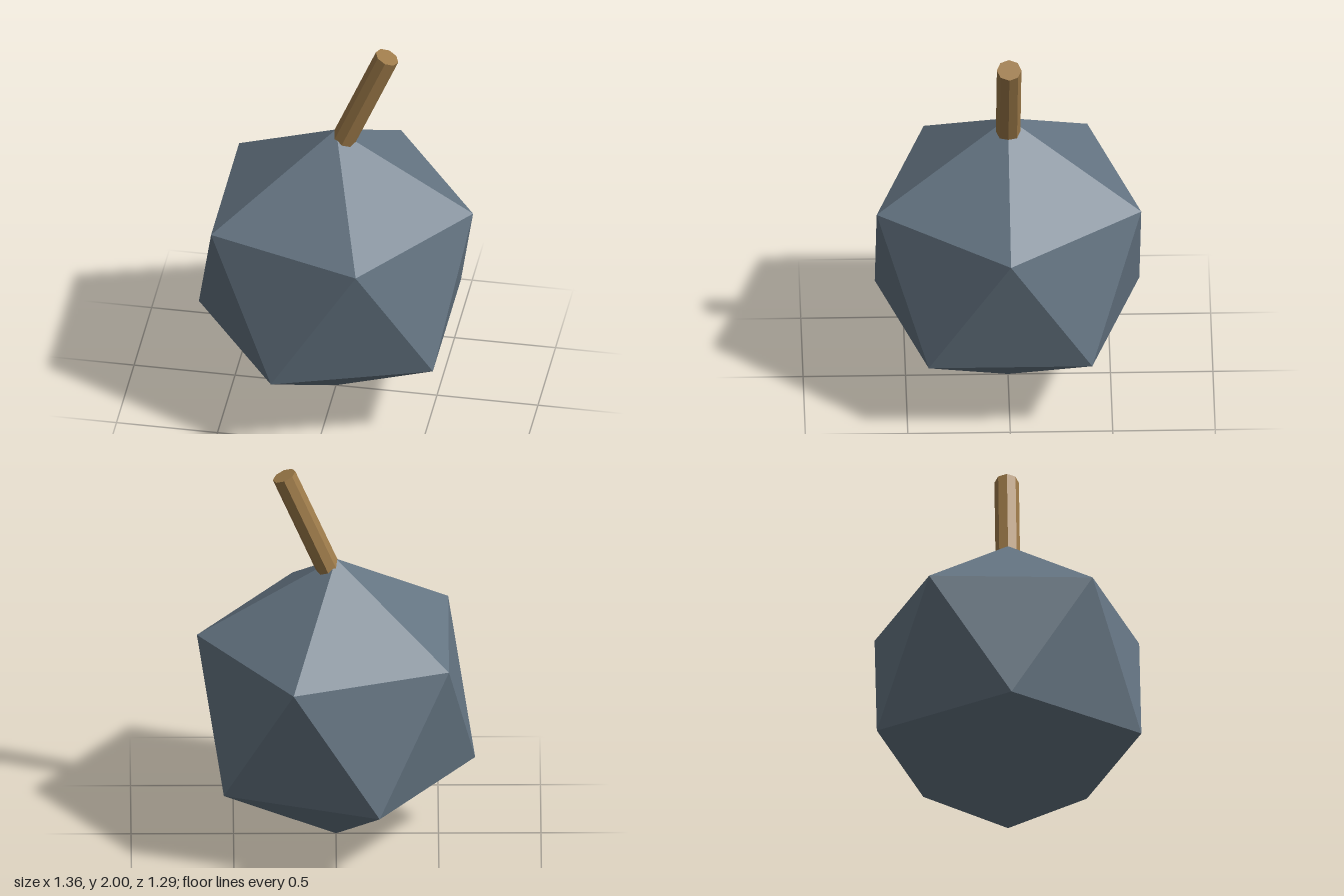
import * as THREE from 'three';

export function createModel() {
  const model = new THREE.Group();
  const slate = new THREE.MeshStandardMaterial({ color: 0x657583, flatShading: true });
  slate.name = 'slate';
  const wood = new THREE.MeshStandardMaterial({ color: 0x9e7b4a, flatShading: true });
  wood.name = 'wood';

  // Faceted body: an icosahedron standing on one corner, an upper corner towards +x
  const R = 0.759;
  const bodyGeometry = new THREE.IcosahedronGeometry(R, 0);
  bodyGeometry.rotateX(-Math.atan((1 + Math.sqrt(5)) / 2));
  bodyGeometry.rotateY(Math.PI / 2);
  const body = new THREE.Mesh(bodyGeometry, slate);
  body.name = 'body';
  body.position.y = R + 0.001;
  model.add(body);

  // Eight-sided stem, leaning towards +x and sunk into the top corner
  const length = 0.6, tilt = 0.4;
  const stemGeometry = new THREE.CylinderGeometry(0.06, 0.06, length, 8);
  stemGeometry.translate(0, -length / 2, 0);
  const stem = new THREE.Mesh(stemGeometry, wood);
  stem.name = 'stem';
  stem.position.set(0.253, 1.977, 0);
  stem.rotation.z = -tilt;
  model.add(stem);

  return model;
}
